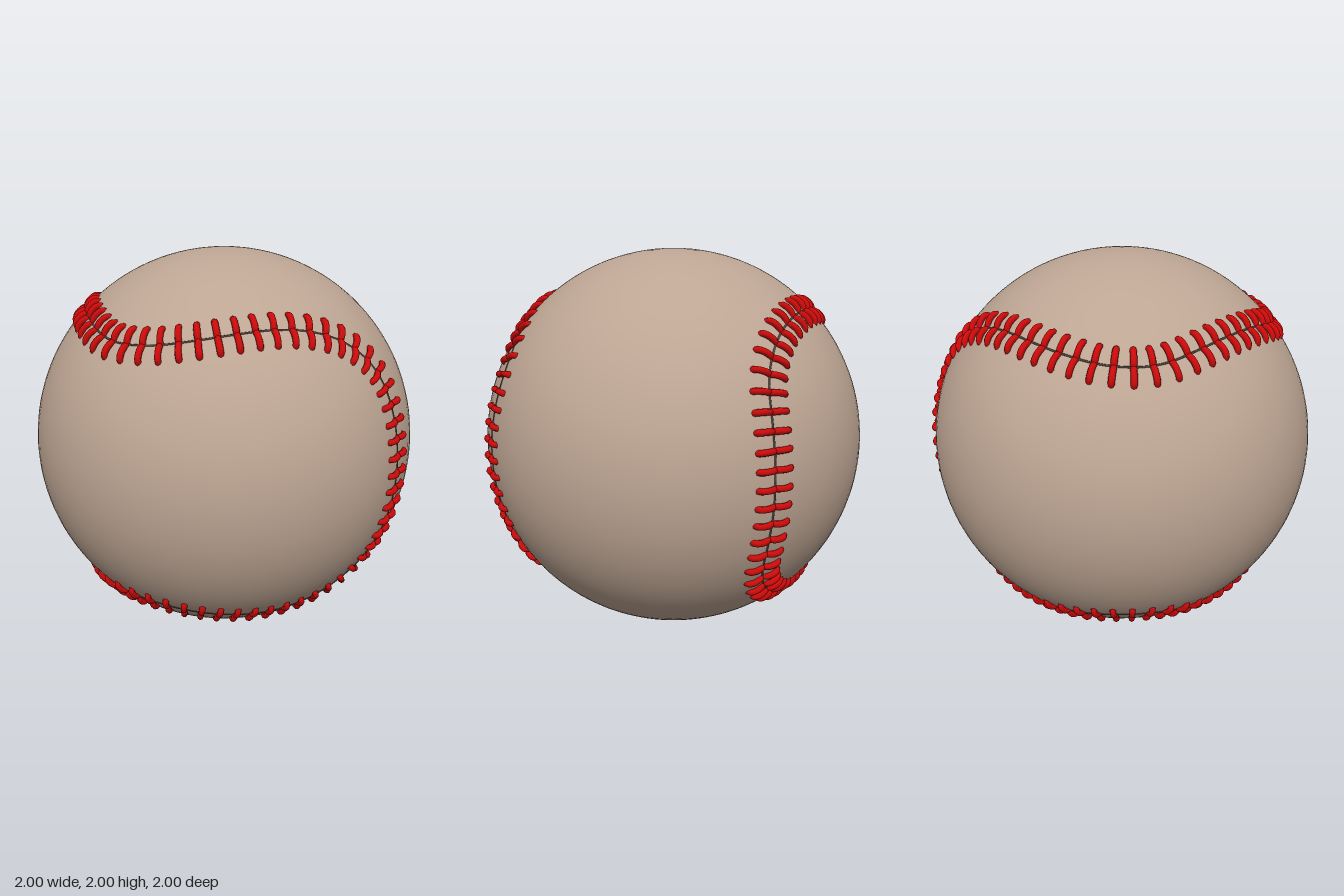
import * as THREE from 'three';
import { mergeGeometries } from 'three/addons/utils/BufferGeometryUtils.js';

const V = (x, y, z) => new THREE.Vector3(x, y, z);
const STITCHES = 112;

// Closed seam on the unit sphere: one eighth is given, the rest follows by symmetry.
function seamCurve() {
  const eighth = [
    V(0.71, 0, 0.71), V(0.705, 0.13, 0.705), V(0.695, 0.26, 0.695), V(0.64, 0.43, 0.66),
    V(0.56, 0.535, 0.645), V(0.43, 0.635, 0.655), V(0.26, 0.695, 0.68), V(0.085, 0.715, 0.705),
  ].map((p) => p.normalize());
  const swapped = eighth.map((p) => V(-p.x, p.z, p.y)).reverse();
  const quarter = [...eighth, ...swapped];
  const mirrored = (sy, sz) => quarter.map((p) => V(p.x, p.y * sy, p.z * sz));
  const loop = [
    ...quarter.slice(0, -1),
    ...mirrored(1, -1).reverse().slice(0, -1),
    ...mirrored(-1, -1).slice(0, -1),
    ...mirrored(-1, 1).reverse().slice(0, -1),
  ];
  const curve = new THREE.CatmullRomCurve3(loop, true);
  curve.arcLengthDivisions = 1600;
  return curve;
}

// Half a stitch: a small arch whose ends dip into the cover.
function halfStitch(side) {
  const path = new THREE.CatmullRomCurve3([
    V(0, -0.012, 0), V(side * 0.012, 0.005, 0), V(side * 0.042, 0.012, 0),
    V(side * 0.074, 0.004, 0), V(side * 0.087, -0.021, 0),
  ]);
  return new THREE.TubeGeometry(path, 12, 0.0155, 8);
}

export function createModel() {
  const ball = new THREE.Group();
  ball.name = 'ball';
  ball.position.y = 1;

  const add = (name, geometry, color) => {
    const mesh = new THREE.Mesh(geometry, new THREE.MeshStandardMaterial({ color }));
    mesh.name = name;
    ball.add(mesh);
  };

  add('cover', new THREE.SphereGeometry(1, 96, 64), 0xbda593);

  // Thin seam line lying in the surface
  const seam = seamCurve();
  const points = seam.getSpacedPoints(320).slice(0, -1).map((p) => p.normalize().multiplyScalar(0.999));
  const line = new THREE.CatmullRomCurve3(points, true);
  add('seam', new THREE.TubeGeometry(line, 480, 0.005, 6, true), 0x54463c);

  // Stitch pairs laid across the seam at even steps
  const pair = mergeGeometries([halfStitch(1), halfStitch(-1)]);
  const stitches = [];
  for (let i = 0; i < STITCHES; i++) {
    const up = seam.getPointAt(i / STITCHES).normalize();
    const across = up.clone().cross(seam.getTangentAt(i / STITCHES)).normalize();
    const along = across.clone().cross(up);
    const frame = new THREE.Matrix4().makeBasis(across, up, along).setPosition(up);
    stitches.push(pair.clone().applyMatrix4(frame));
  }
  add('stitches', mergeGeometries(stitches), 0xcc0a0a);

  const model = new THREE.Group();
  model.name = 'stitchedBall';
  model.add(ball);
  return model;
}
